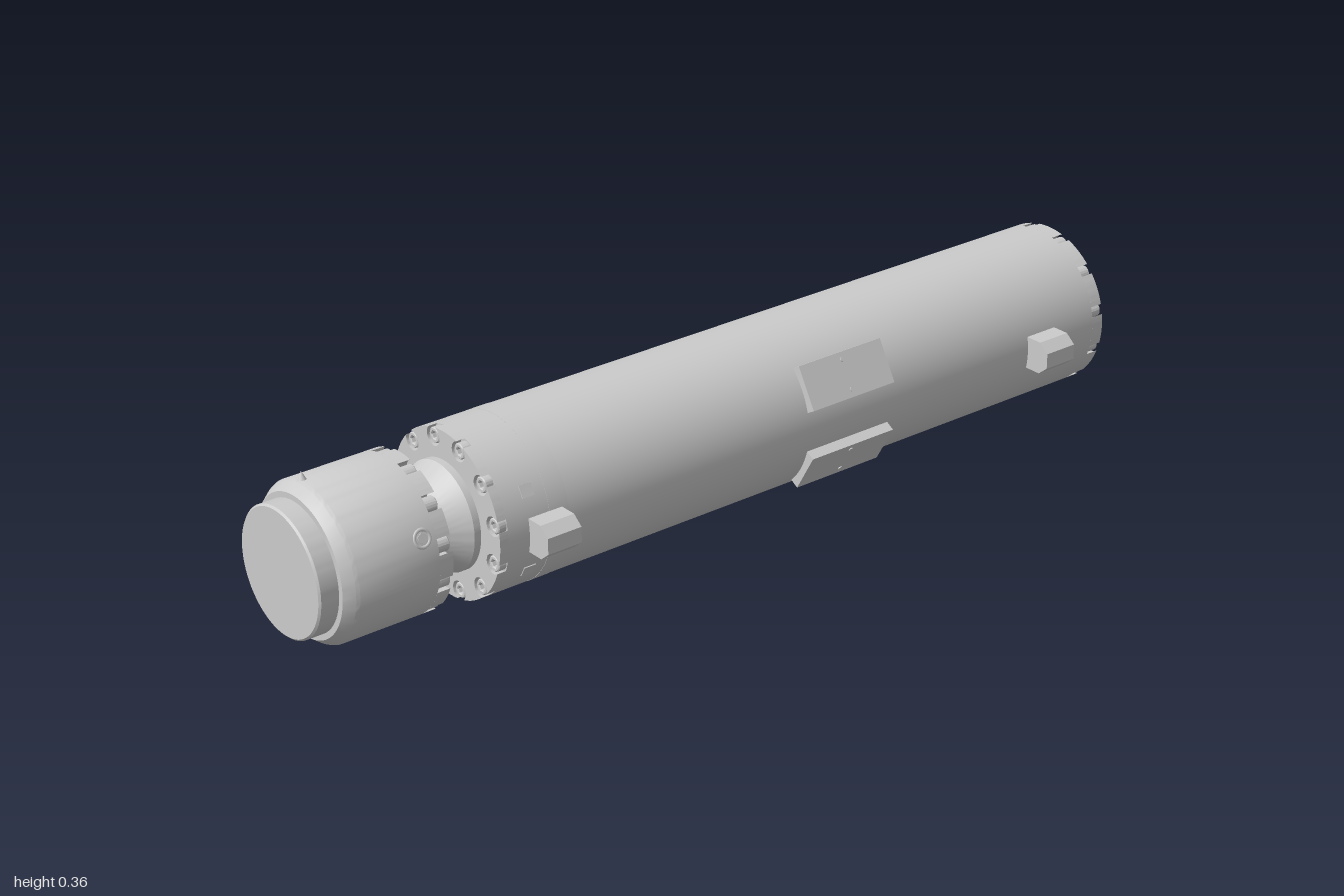
import * as THREE from 'three';
import { toCreasedNormals } from 'three/addons/utils/BufferGeometryUtils.js';

const grey = new THREE.MeshStandardMaterial({ color: 0xcccccc });
const pale = new THREE.MeshStandardMaterial({ color: 0xe6e6e6 });
const gold = new THREE.MeshStandardMaterial({ color: 0xd9a030 });
const rad = THREE.MathUtils.degToRad;

export function createModel() {
  const root = new THREE.Group();
  root.name = 'cylinderAssembly';
  // everything is built around the x axis, then lifted into place
  const body = new THREE.Group();
  body.name = 'body';
  body.position.set(0, 0.178, -0.028);
  root.add(body);

  const add = (name, geo, mat = grey, parent = body) => {
    const mesh = new THREE.Mesh(geo, mat);
    mesh.name = name;
    parent.add(mesh);
    return mesh;
  };

  // revolve [x, radius] pairs about the x axis; outside runs towards +x
  const turned = (name, profile, mat) => {
    const geo = new THREE.LatheGeometry(profile.map(([x, r]) => new THREE.Vector2(r, x)), 96);
    geo.rotateZ(-Math.PI / 2);
    return add(name, toCreasedNormals(geo, rad(25)), mat);
  };

  // group on the surface: local +z points outwards, angle measured from the front (+z) upwards
  const radial = (name, x, angle, r) => {
    const g = new THREE.Group();
    g.name = name;
    g.position.set(x, r * Math.sin(rad(angle)), r * Math.cos(rad(angle)));
    g.rotation.x = -rad(angle);
    body.add(g);
    return g;
  };

  const ringPath = (r, n = 96) => new THREE.Path().setFromPoints(
    Array.from({ length: n }, (_, i) => new THREE.Vector2(
      r * Math.cos(i / n * 2 * Math.PI), r * Math.sin(i / n * 2 * Math.PI))));

  // socket-head bolt, extruded along +x
  const boltShape = new THREE.Shape(ringPath(0.0165, 20).getPoints());
  boltShape.holes.push(ringPath(0.0085, 6));
  const makeBolt = (depth) => toCreasedNormals(new THREE.ExtrudeGeometry(boltShape, {
    depth, bevelThickness: 0.002, bevelSize: 0.002, bevelOffset: -0.002, bevelSegments: 1,
  }).rotateY(Math.PI / 2), rad(30));

  // flange with twelve open bolt pockets; dir is the way its face looks
  const flange = (name, x0, x1, R, hole, circle, pocket, dir) => {
    const s = new THREE.Shape();
    const phi = Math.acos((R * R - circle * circle - pocket * pocket) / (2 * circle * pocket));
    const half = Math.asin(pocket * Math.sin(phi) / R);
    for (let k = 0; k < 12; k++) {
      const a = rad(17.5 + 30 * k);
      s.absarc(0, 0, R, a - rad(30) + half, a - half, false);
      s.absarc(circle * Math.cos(a), circle * Math.sin(a), pocket, a + 2 * Math.PI - phi, a + phi, true);
    }
    s.holes.push(ringPath(hole));
    const geo = new THREE.ExtrudeGeometry(s, { depth: x1 - x0, bevelEnabled: false, curveSegments: 8 });
    geo.rotateY(Math.PI / 2).translate(x0, 0, 0);
    add(name, toCreasedNormals(geo, rad(25)));

    const boltGeo = makeBolt(x1 - x0 - 0.004);
    for (let k = 0; k < 12; k++) {
      const g = radial(name + 'Bolt', dir > 0 ? x0 : x1, 12.5 + 30 * k, circle);
      if (dir < 0) g.rotation.set(0, Math.PI, 0);
      add('boltHead', boltGeo, grey, g);
      const floor = add('boltSocketFloor', new THREE.CircleGeometry(0.011, 12), grey, g);
      floor.rotation.y = Math.PI / 2;
      floor.position.x = 0.008;
    }
  };

  // main tube with bore, stepped floor and centre boss
  turned('mainTube', [
    [-0.6, 0.07], [-0.6, 0.177], [0.97, 0.177], [0.97, 0.123],
    [-0.45, 0.123], [-0.45, 0.076], [-0.48, 0.076], [-0.48, 0.067],
    [-0.6, 0.067], [-0.6, 0.018], [-0.57, 0.018], [-0.57, 0],
  ]);
  turned('paintedBand', [[-0.5, 0.1765], [-0.5, 0.1775], [-0.455, 0.1775], [-0.455, 0.1765]], pale);
  flange('frontFlange', 0.97, 1, 0.177, 0.123, 0.159, 0.021, 1);
  flange('rearFlange', -0.62, -0.6, 0.177, 0.08, 0.159, 0.021, -1);

  // golden seals lining the mouth of the bore
  for (const [x0, x1] of [[0.975, 0.994], [0.935, 0.948], [0.895, 0.908]]) {
    turned('boreSeal', [[x0, 0.118], [x0, 0.1235], [x1, 0.1235], [x1, 0.118], [x0, 0.118]], gold);
  }
  // dowel pins in the front face
  for (const a of [57, 177, 297]) {
    const pin = add('dowelPin', new THREE.CylinderGeometry(0.0105, 0.0105, 0.03, 20), grey,
      radial('dowel', 0.986, a, 0.159));
    pin.rotation.z = -Math.PI / 2;
  }

  // flared neck between head and tube
  turned('neck', [
    [-0.75, 0.07], [-0.705, 0.07], [-0.69, 0.075], [-0.67, 0.088],
    [-0.65, 0.104], [-0.64, 0.111], [-0.635, 0.115], [-0.615, 0.115],
  ]);

  // rear head with end cap
  turned('head', [
    [-1, 0], [-1, 0.131], [-0.996, 0.135], [-0.957, 0.135], [-0.957, 0.147],
    [-0.937, 0.162], [-0.93, 0.165], [-0.75, 0.165], [-0.75, 0.06],
  ]);
  flange('headFlange', -0.75, -0.72, 0.165, 0.069, 0.147, 0.024, 1);

  // port plug and pointer on the head
  const port = radial('port', -0.78, 22, 0.163);
  add('portRing', new THREE.TorusGeometry(0.017, 0.004, 8, 28), grey, port);
  add('portPlug', new THREE.CylinderGeometry(0.011, 0.011, 0.008, 6).rotateX(Math.PI / 2), grey, port);
  add('pointer', new THREE.ConeGeometry(0.01, 0.02, 12).rotateX(Math.PI / 2), grey,
    radial('pointerMount', -0.925, 98, 0.172));

  // two mounting lugs along the front
  const lug = new THREE.Shape([
    [-0.16, -0.036], [-0.212, -0.036], [-0.235, -0.017],
    [-0.235, 0.017], [-0.212, 0.036], [-0.16, 0.036],
  ].map(([x, y]) => new THREE.Vector2(x, y)));
  const lugGeo = new THREE.ExtrudeGeometry(lug, { depth: 0.08, bevelEnabled: false });
  lugGeo.rotateY(Math.PI / 2);
  for (const x of [-0.55, 0.775]) add('mountingLug', lugGeo).position.x = x;

  // pair of flat pads with screws, above and below the front line
  for (const side of [1, -1]) {
    const pad = radial('flatPad', 0.265, 30 * side, 0.176);
    add('padPlate', new THREE.BoxGeometry(0.22, 0.096, 0.032), grey, pad);
    for (const y of [-0.032, 0.032]) {
      const screw = add('padScrew', new THREE.CylinderGeometry(0.005, 0.005, 0.003, 12), grey, pad);
      screw.rotation.x = Math.PI / 2;
      screw.position.set(0, y, 0.0165);
    }
    // small tag near the rear lug
    add('tag', new THREE.BoxGeometry(0.028, 0.026, 0.004), grey, radial('tagMount', -0.54, 29 * side, 0.1765));
  }
  return root;
}
